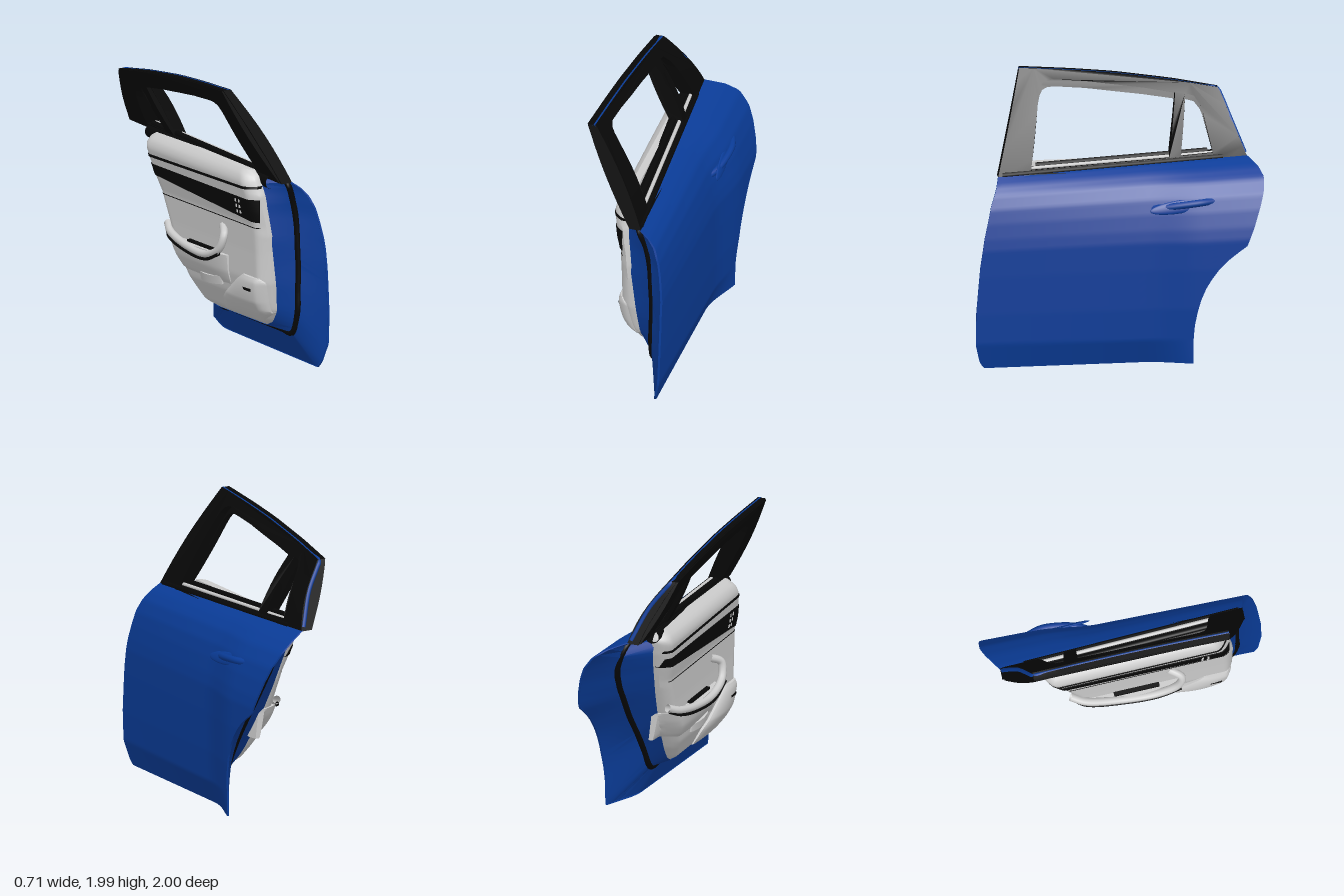
import * as THREE from 'three';
import { toCreasedNormals } from 'three/addons/utils/BufferGeometryUtils.js';

const mat = (color) => new THREE.MeshStandardMaterial({ color, side: THREE.DoubleSide });
const lerp = THREE.MathUtils.lerp;
const smooth = THREE.MathUtils.smoothstep;

// Piecewise linear curve through [t, value] pairs (t rising)
const curve = (...p) => (t) => {
  if (t <= p[0][0]) return p[0][1];
  for (let i = 1; i < p.length; i++) {
    if (t <= p[i][0]) return lerp(p[i - 1][1], p[i][1], (t - p[i - 1][0]) / (p[i][0] - p[i - 1][0]));
  }
  return p[p.length - 1][1];
};

// Region of the door's side plane: front edge zf(v), rear edge zr(v), bottom yb(z), top yt(z)
const at = (r, u, v) => {
  const z = lerp(r.zf(v), r.zr(v), u);
  return [z, lerp(r.yb(z), r.yt(z), v)];
};

function indexed(pos, idx, crease = 0.6) {
  const g = new THREE.BufferGeometry();
  g.setAttribute('position', new THREE.Float32BufferAttribute(pos, 3));
  g.setIndex(idx);
  return toCreasedNormals(g, crease);
}

// Closed curved slab over a region, between an outer (+x) and inner (-x) surface
function slab(r, xOut, xIn, nu = 40, nv = 40) {
  const pos = [], idx = [], row = nu + 1, half = row * (nv + 1);
  for (const fx of [xOut, xIn]) {
    for (let j = 0; j <= nv; j++) for (let i = 0; i <= nu; i++) {
      const [z, y] = at(r, i / nu, j / nv);
      pos.push(fx(z, y, i / nu, j / nv), y, z);
    }
  }
  for (let j = 0; j < nv; j++) for (let i = 0; i < nu; i++) {
    const a = j * row + i, b = a + 1, c = b + row, d = a + row;
    idx.push(a, b, c, a, c, d, a + half, c + half, b + half, a + half, d + half, c + half);
  }
  const rim = [];
  for (let i = 0; i < nu; i++) rim.push(i);
  for (let j = 0; j < nv; j++) rim.push(j * row + nu);
  for (let i = nu; i > 0; i--) rim.push(nv * row + i);
  for (let j = nv; j > 0; j--) rim.push(j * row);
  rim.forEach((p, k) => {
    const q = rim[(k + 1) % rim.length];
    idx.push(p, p + half, q + half, p, q + half, q);
  });
  return indexed(pos, idx);
}

// Boundary loop of a region, lifted to x
function ring(r, fx, n = 28) {
  const pts = [];
  const add = (u, v) => { const [z, y] = at(r, u, v); pts.push(new THREE.Vector3(fx(z, y), y, z)); };
  for (let i = 0; i < n; i++) add(i / n, 0);
  for (let i = 0; i < n; i++) add(1, i / n);
  for (let i = 0; i < n; i++) add(1 - i / n, 1);
  for (let i = 0; i < n; i++) add(0, 1 - i / n);
  return pts;
}

function loft(rings) {
  const n = rings[0].length, pos = rings.flat().flatMap((p) => p.toArray()), idx = [];
  for (let k = 0; k < rings.length - 1; k++) for (let i = 0; i < n; i++) {
    const p = k * n + i, q = k * n + (i + 1) % n;
    idx.push(p, p + n, q + n, p, q + n, q);
  }
  return indexed(pos, idx);
}

// Flat outline with holes in [z, y], bent between an outer and an inner x surface
function plate(outline, holes, xOut, xIn) {
  const v2 = (pts) => pts.map(([z, y]) => new THREE.Vector2(-z, y));
  const s = new THREE.Shape(v2(outline));
  holes.forEach((h) => s.holes.push(new THREE.Path(v2(h))));
  const g = new THREE.ExtrudeGeometry(s, { depth: 1, bevelEnabled: false });
  const p = g.attributes.position;
  for (let i = 0; i < p.count; i++) {
    const z = -p.getX(i), y = p.getY(i);
    p.setXYZ(i, lerp(xIn(z, y), xOut(z, y), p.getZ(i)), y, z);
  }
  return toCreasedNormals(g, 0.6);
}

const tube = (pts, r, closed = false, seg = 80) => new THREE.TubeGeometry(
  new THREE.CatmullRomCurve3(pts.map((p) => (p.isVector3 ? p : new THREE.Vector3(...p))), closed), seg, r, 10, closed);

export function createModel() {
  const door = new THREE.Group();
  door.name = 'carDoor';
  const blue = mat(0x0a3c98), black = mat(0x080808), grey = mat(0xcccccc);
  const add = (name, geo, m) => {
    const mesh = new THREE.Mesh(geo, m);
    mesh.name = name;
    door.add(mesh);
    return mesh;
  };

  // Outer skin, flaring out over the rear wheel
  const beltY = (z) => 1.365 - 0.05 * z;
  const beltX = (z) => 0.038 + 0.075 * z;
  const flare = (z) => smooth(-z, 0.15, 0.6);
  const bulge = curve([0, 0], [0.14, 0.95], [0.3, 0.99], [0.5, 1], [0.64, 0.99], [0.7, 0.95], [0.78, 0.87], [0.85, 0.77], [0.92, 0.58], [0.965, 0.32], [1, 0]);
  const skinX = (z, y) => {
    const v = y / beltY(z), low = lerp(0.72, 0.97, flare(z));
    const f = v < 0.14 ? lerp(low, 0.95, Math.max(v, 0) / 0.14) : bulge(v);
    return lerp(beltX(z), lerp(0.3, 0.355, flare(z)), f);
  };
  const skin = {
    zf: curve([0, 0.94], [0.03, 0.97], [0.13, 1], [0.3, 0.998], [0.42, 0.985], [0.55, 0.97], [0.7, 0.94], [0.8, 0.91], [0.87, 0.89], [0.95, 0.85], [1, 0.83]),
    zr: curve([0, -0.5], [0.13, -0.5], [0.2, -0.508], [0.27, -0.527], [0.33, -0.55], [0.39, -0.585], [0.44, -0.627], [0.49, -0.68], [0.53, -0.737],
      [0.57, -0.81], [0.6, -0.87], [0.69, -0.92], [0.8, -0.97], [0.87, -0.995], [0.92, -1], [0.96, -0.97], [1, -0.9]),
    yb: (z) => 0.023 - 0.014 * z,
    yt: beltY,
  };
  add('outerPanel', slab(skin, skinX, (z, y) => skinX(z, y) - 0.015, 50, 80), blue);

  // Inner shell, stepping from the skin to the seal and then to the trim
  const sealLine = {
    zf: curve([0, 0.74], [0.05, 0.79], [0.1, 0.8], [1, 0.8]),
    zr: curve([0, -0.15], [0.06, -0.2], [0.22, -0.3], [0.47, -0.5], [0.7, -0.67], [0.83, -0.74], [0.93, -0.77], [1, -0.72]),
    yb: () => 0.22, yt: () => 1.32,
  };
  const sealProfile = curve([0.2, 0.16], [0.7, 0.17], [1.1, 0.15], [1.33, 0.07]);
  const sealX = (z, y) => sealProfile(y) + 0.01 * (z - 0.75);
  const trimLine = {
    zf: curve([0, 0.56], [0.04, 0.65], [0.12, 0.71], [0.3, 0.735], [0.6, 0.735], [0.85, 0.7], [0.96, 0.65], [1, 0.6]),
    zr: curve([0, -0.04], [0.04, -0.12], [0.13, -0.2], [0.35, -0.35], [0.6, -0.48], [0.85, -0.59], [0.94, -0.62], [1, -0.58]),
    yb: () => 0.25, yt: (z) => 1.395 - 0.015 * z,
  };
  const baseX = (z, y) => 0.11 - 0.118 * y + 0.03 * (z - 0.7);
  const sealRing = ring(sealLine, sealX);
  add('innerShell', loft([
    ring(skin, (z, y) => skinX(z, y) - 0.012), sealRing,
    ring({ ...trimLine, yt: () => 1.33 }, (z, y) => baseX(z, y) - 0.012),
  ]), blue);
  add('weatherSeal', tube(sealRing.filter((p, i) => i % 4 === 0), 0.021, true, 160), black);

  // Interior trim with rounded rim
  const trimProfile = curve([0.25, 0.04], [0.3, -0.03], [0.45, -0.095], [0.6, -0.125], [0.8, -0.13], [1, -0.14], [1.1, -0.165],
    [1.25, -0.19], [1.3, -0.2], [1.34, -0.19], [1.37, -0.17], [1.4, -0.13]);
  const trimX = (z, y) => {
    const v = THREE.MathUtils.clamp((y - 0.25) / (trimLine.yt(z) - 0.25), 0, 1);
    const u = (trimLine.zf(v) - z) / (trimLine.zf(v) - trimLine.zr(v));
    const fall = Math.sqrt(smooth(Math.min(u, 1 - u), -0.02, 0.06));
    return lerp(baseX(z, y), trimProfile(y) + 0.035 * (z + 0.4), fall);
  };
  add('trimPanel', slab(trimLine, baseX, trimX, 60, 60), grey);
  // A raised strip or pad that follows the trim
  const pad = (name, z0, z1, yb, yt, lift, m) => add(name,
    slab({ zf: () => z0, zr: () => z1, yb, yt }, (z, y) => trimX(z, y) + 0.03, (z, y, u, v) => trimX(z, y) - lift(u, v), 50, 12), m);
  pad('trimInsert', 0.7, -0.55, (z) => 1.11 - 0.075 * (z + 0.4), (z) => 1.19, () => 0.007, black);
  pad('trimLine', 0.68, -0.58, (z) => 1.25 + 0.02 * z, (z) => 1.268 + 0.02 * z, () => 0.007, black);
  pad('trimSeam', 0.7, -0.45, () => 0.985, () => 0.99, () => 0.003, black);
  for (let i = 0; i < 6; i++) {
    const b = add('switchButton', new THREE.BoxGeometry(0.02, 0.022, 0.014), grey);
    const z = 0.5 + 0.04 * (i % 2), y = 1.08 + 0.04 * Math.floor(i / 2);
    b.position.set(trimX(z, y) - 0.001, y, z);
  }

  // Armrest, grab handle and storage pocket
  const dome = (u) => Math.sqrt(Math.sin(Math.PI * lerp(0.03, 0.97, u)));
  pad('armrest', 0.34, -0.4, (z) => 0.5 + 0.1 * z * z, () => 0.72, (u, v) => 0.06 * dome(u) * Math.pow(v, 0.6), grey);
  pad('armrestTray', 0.2, -0.12, () => 0.71, () => 0.735, () => 0.03, black);
  pad('doorPull', 0.24, -0.02, (z) => 0.47 + 0.3 * z * z, (z) => 0.53 + 0.3 * z * z, (u) => 0.035 * dome(u), grey);
  add('grabHandle', tube([[-0.11, 0.78, -0.42], [-0.15, 0.74, -0.32], [-0.17, 0.695, -0.05], [-0.175, 0.7, 0.18], [-0.17, 0.77, 0.32],
    [-0.15, 0.87, 0.35], [-0.1, 0.92, 0.27]], 0.028), grey);
  add('grabHandleTrim', tube([[-0.12, 0.75, -0.41], [-0.165, 0.71, -0.32], [-0.185, 0.665, -0.05], [-0.19, 0.67, 0.18], [-0.185, 0.74, 0.34]], 0.012), black);
  add('storagePocket', slab({
    zf: curve([0, 0.62], [0.2, 0.7], [0.9, 0.72], [1, 0.69]), zr: curve([0, 0.17], [0.3, 0.22], [0.85, 0.45], [1, 0.52]),
    yb: () => 0.3, yt: () => 0.63,
  }, (z, y) => trimX(z, y) + 0.03, (z, y, u, v) => trimX(z, y) - 0.055 * Math.sqrt(Math.sin(Math.PI * lerp(0.04, 0.96, u)) * Math.sin(Math.PI * lerp(0.05, 0.95, v))), 24, 24), grey);
  pad('pocketLamp', 0.64, 0.56, () => 0.53, () => 0.55, () => 0.05, black);

  // Window frame leaning inwards, with main and quarter openings
  const topY = curve([-0.72, 1.84], [-0.4, 1.9], [0, 1.955], [0.3, 1.98], [0.65, 2]);
  const rise = (z, y) => THREE.MathUtils.clamp((y - beltY(z)) / (topY(z) - beltY(z)), 0, 1);
  const frameX = (z, y) => {
    const t = rise(z, y);
    return lerp(beltX(z), -0.274 - 0.018 * z, t) + 0.03 * Math.sin(Math.PI * t);
  };
  const frameBackX = (z, y) => {
    const t = rise(z, y);
    return frameX(z, y) - lerp(0.085, 0.06, t) - 0.015 * Math.sin(Math.PI * t);
  };
  const line = (a, b, n) => Array.from({ length: n }, (_, i) => [lerp(a[0], b[0], i / n), lerp(a[1], b[1], i / n)]);
  const topEdge = Array.from({ length: 15 }, (_, i) => lerp(0.65, -0.72, i / 14)).map((z) => [z, topY(z)]);
  const outline = [...topEdge, ...line([-0.74, 1.8], [-0.9, 1.405], 6), ...line([-0.9, 1.405], [0.83, 1.32], 14), ...line([0.83, 1.32], [0.65, 2], 8)];
  const mainOpening = [...line([0.6, 1.36], [0.53, 1.76], 6), [0.53, 1.76], [0.515, 1.815], [0.495, 1.85], [0.46, 1.866], [0.41, 1.87], [0.2, 1.855],
    [0, 1.83], [-0.2, 1.805], ...line([-0.42, 1.77], [-0.36, 1.41], 6), ...line([-0.36, 1.41], [0.6, 1.36], 8)];
  const quarterOpening = [...line([-0.44, 1.42], [-0.49, 1.76], 6), [-0.49, 1.765], [-0.55, 1.75], [-0.59, 1.7], ...line([-0.61, 1.65], [-0.665, 1.435], 5), [-0.665, 1.435]];
  // The outer layer's openings reach higher, leaving a slim roof rail
  const raised = (pts) => pts.map(([z, y]) => [z, y + 0.055 * smooth(y, 1.45, 1.85)]);
  add('windowFrame', plate(outline, [raised(mainOpening), raised(quarterOpening)], frameX, frameBackX), black);
  // Set-back layer carrying the glass channel
  const inset = outline.map(([z, y]) => [-0.02 + (z + 0.02) * 0.985, 1.62 + (y - 1.62) * 0.985]);
  add('glassChannel', plate(inset, [mainOpening, quarterOpening], (z, y) => frameBackX(z, y) + 0.012,
    (z, y) => frameBackX(z, y) - 0.01 - 0.032 * Math.sin(Math.PI * rise(z, y))), black);

  // Body-coloured edge along the top and rear of the frame
  const edge = [...topEdge, [-0.745, 1.795], [-0.8, 1.66], [-0.89, 1.44]];
  add('frameEdgeStrip', tube(edge.map(([z, y]) => [frameX(z, y) - 0.016, y - 0.013, z + 0.004]), 0.015), blue);

  // Belt strips along the window slot
  const strip = (name, z0, z1, dx, lift, r, m) =>
    add(name, tube(line([z0, 0], [z1, 0], 8).map(([z]) => [beltX(z) + dx, beltY(z) + lift, z]), r), m);
  strip('outerBeltStrip', 0.8, -0.95, -0.015, 0.005, 0.02, black);
  strip('slotStrip', 0.66, -0.9, -0.04, 0.032, 0.013, grey);
  strip('slotFloor', 0.72, -0.85, -0.09, -0.015, 0.05, black);
  strip('innerBeltStrip', 0.56, -0.8, -0.085, 0.04, 0.02, black);

  // Outside door handle over its recess
  const cup = add('handleCup', new THREE.SphereGeometry(1, 32, 16), blue);
  cup.scale.set(0.014, 0.046, 0.22);
  cup.position.set(skinX(-0.42, 1.13) - 0.002, 1.13, -0.42);
  cup.rotation.set(0.12, 0.1, 0.35);
  add('doorHandle', tube([[0.225, 1.11, -0.21], [0.265, 1.122, -0.3], [0.287, 1.14, -0.42], [0.287, 1.155, -0.55], [0.255, 1.16, -0.65]], 0.025), blue);
  return door;
}
